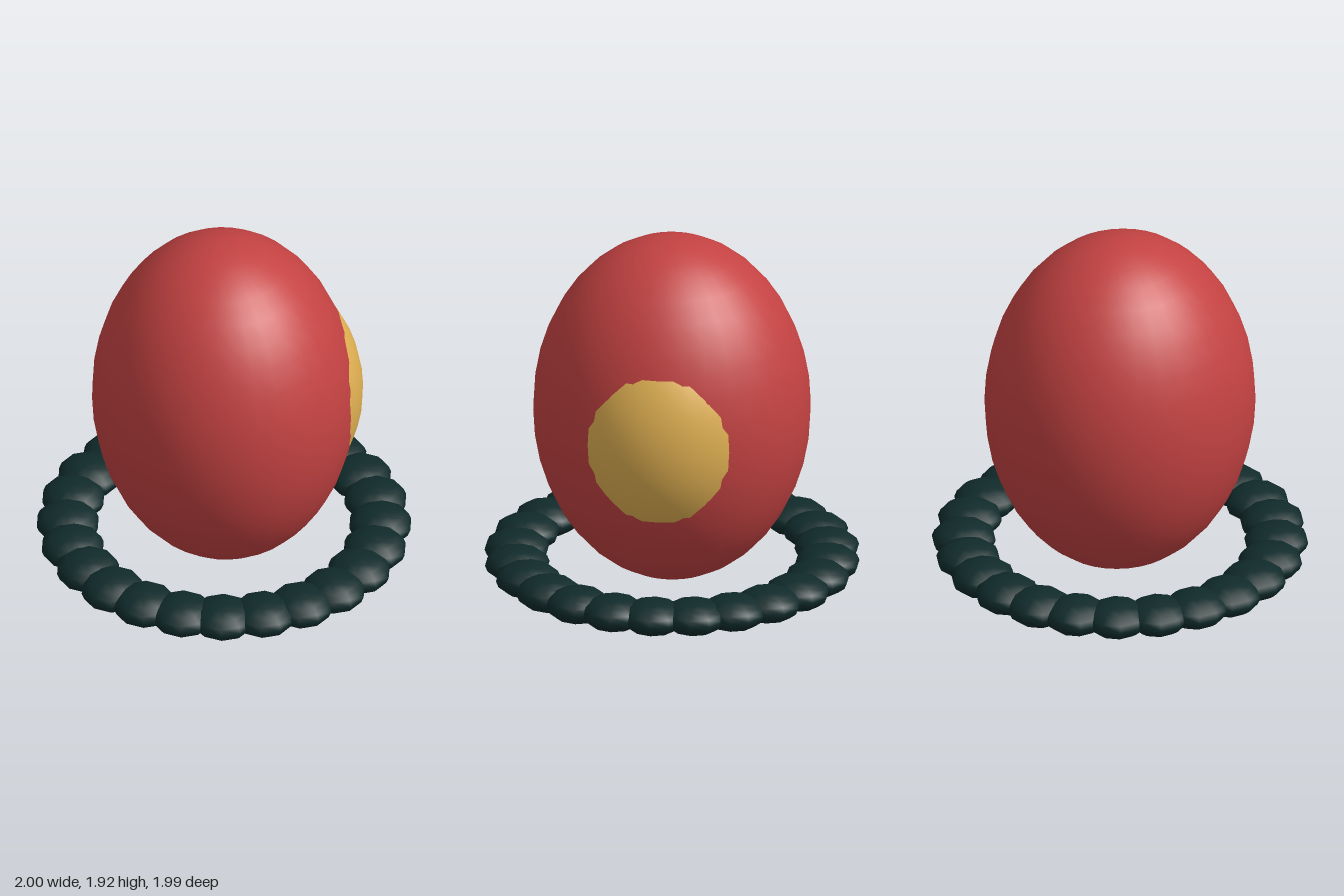
import * as THREE from 'three';

const red = new THREE.MeshStandardMaterial({ name: 'red', color: 0xc44242 });
const gold = new THREE.MeshStandardMaterial({ name: 'gold', color: 0xe0b052 });
const darkTeal = new THREE.MeshStandardMaterial({ name: 'darkTeal', color: 0x102a2a });

// Smooth ellipsoid with its own radii and centre
function ellipsoid(name, material, radii, centre, segments, rings) {
  const geometry = new THREE.SphereGeometry(1, segments, rings);
  geometry.scale(...radii);
  const mesh = new THREE.Mesh(geometry, material);
  mesh.name = name;
  mesh.position.set(...centre);
  return mesh;
}

export function createModel() {
  const model = new THREE.Group();
  model.name = 'eggOnBeadRing';

  // Egg-shaped body
  model.add(ellipsoid('body', red, [0.70, 0.96, 0.74], [0, 0.963, 0], 32, 20));

  // Round patch bulging from the left side
  model.add(ellipsoid('sidePatch', gold, [0.52, 0.66, 0.546], [0.225, 0.965, 0], 32, 20));

  // Ring of flattened, unrotated beads around the foot
  const ring = new THREE.Group();
  ring.name = 'beadRing';
  const count = 24;
  for (let i = 0; i < count; i++) {
    const a = (i / count) * Math.PI * 2;
    const centre = [0.83 * Math.cos(a), 0.1, 0.83 * Math.sin(a)];
    ring.add(ellipsoid('bead', darkTeal, [0.17, 0.09, 0.175], centre, 10, 8));
  }
  model.add(ring);

  return model;
}
